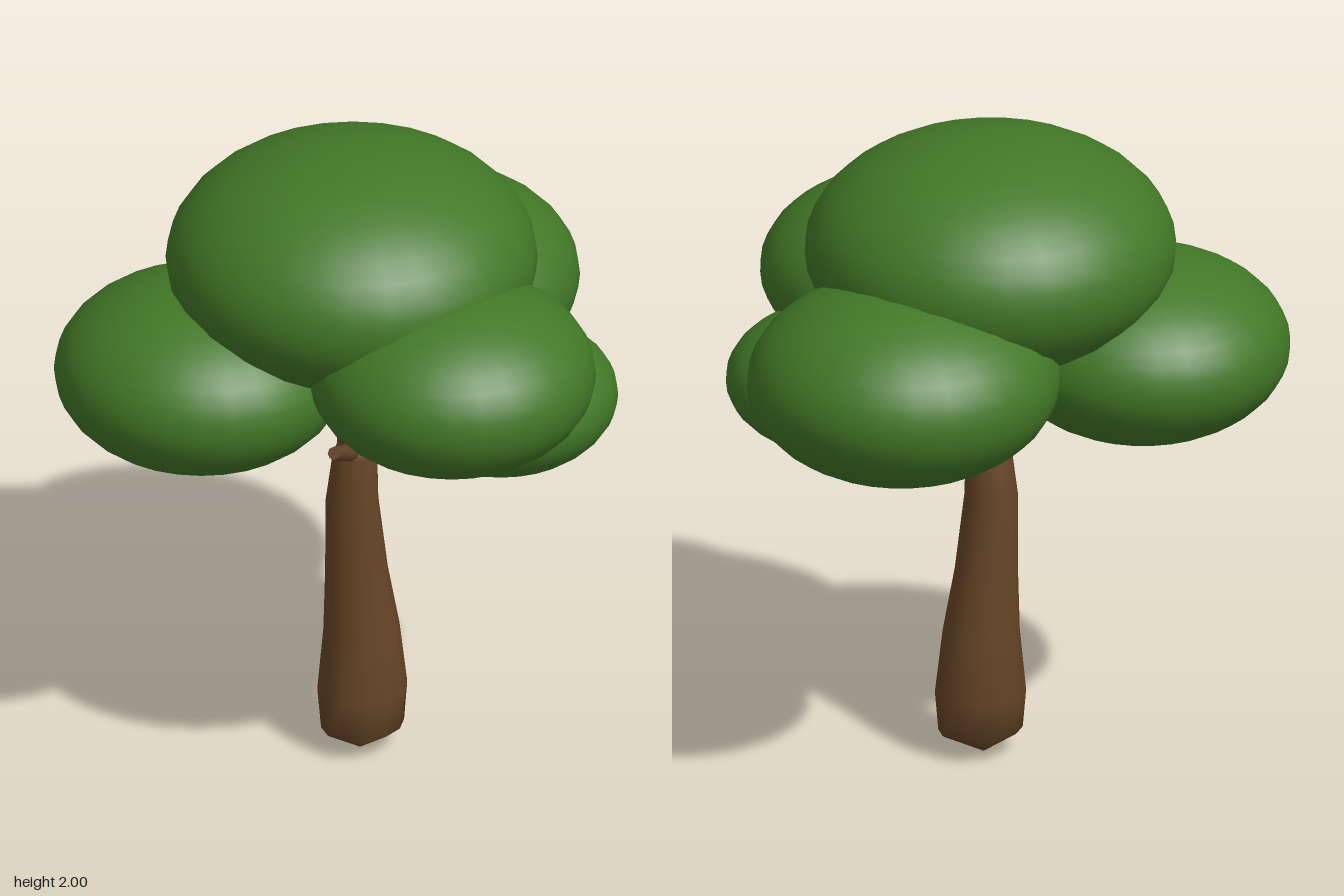
import * as THREE from 'three';

const bark = new THREE.MeshStandardMaterial({ color: 0x664526 });
bark.name = 'bark brown';
const leaf = new THREE.MeshStandardMaterial({ color: 0x427827 });
leaf.name = 'leaf green';

// Smooth tube through elliptical rings [y, centreX, centreZ, radiusX, radiusZ], bottom to top
function loft(rings, sides) {
  const pos = [], index = [];
  rings.forEach(([y, cx, cz, rx, rz], r) => {
    for (let i = 0; i < sides; i++) {
      const a = (i / sides) * Math.PI * 2;
      pos.push(cx + Math.cos(a) * rx, y, cz + Math.sin(a) * rz);
      if (r === 0) continue;
      const j = (i + 1) % sides, lo = (r - 1) * sides, hi = r * sides;
      index.push(lo + i, hi + i, lo + j, lo + j, hi + i, hi + j);
    }
  });
  const geo = new THREE.BufferGeometry();
  geo.setAttribute('position', new THREE.Float32BufferAttribute(pos, 3));
  geo.setIndex(index);
  geo.computeVertexNormals();
  return geo;
}

// Tapered limb between two points
function limb(from, to, r0, r1) {
  const a = new THREE.Vector3(...from), b = new THREE.Vector3(...to);
  const dir = b.clone().sub(a);
  const mesh = new THREE.Mesh(new THREE.CylinderGeometry(r1, r0, dir.length(), 8), bark);
  mesh.position.copy(a).add(b).multiplyScalar(0.5);
  mesh.quaternion.setFromUnitVectors(new THREE.Vector3(0, 1, 0), dir.normalize());
  return mesh;
}

export function createModel() {
  const tree = new THREE.Group();
  tree.name = 'tree';

  // Leaning trunk with a swollen foot that closes to a blunt point
  const trunk = new THREE.Mesh(loft([
    [0.0, -0.02, -0.08, 0.004, 0.004],
    [0.075, -0.01, -0.08, 0.132, 0.112],
    [0.2, -0.005, -0.088, 0.14, 0.128],
    [0.4, -0.005, -0.092, 0.117, 0.112],
    [0.6, -0.02, -0.097, 0.095, 0.094],
    [0.84, -0.035, -0.1, 0.08, 0.08],
    [1.0, -0.03, -0.092, 0.069, 0.064],
    [1.05, -0.03, -0.09, 0.045, 0.045],
    [1.06, -0.03, -0.09, 0.002, 0.002],
  ], 12), bark);
  trunk.name = 'trunk';
  tree.add(trunk);

  // Branches fanning out into the crown
  const branches = new THREE.Group();
  branches.name = 'branches';
  const fork = [-0.03, 1.0, -0.09];
  branches.add(
    limb(fork, [-0.01, 1.4, -0.13], 0.055, 0.045),
    limb(fork, [-0.205, 1.105, 0.03], 0.03, 0.02),
    limb(fork, [0.2, 1.16, -0.03], 0.036, 0.025),
    limb(fork, [0.1, 1.2, -0.25], 0.036, 0.025),
    limb(fork, [-0.06, 1.3, 0.05], 0.035, 0.025),
  );
  tree.add(branches);

  // Flattened leaf clumps: name, centre, radii
  const clumps = [
    ['topFoliage', [-0.02, 1.65, -0.12], [0.56, 0.35, 0.555]],
    ['frontFoliage', [0.01, 1.433, 0.33], [0.432, 0.278, 0.43]],
    ['rightFoliage', [-0.432, 1.32, -0.325], [0.442, 0.28, 0.443]],
    ['leftFoliage', [0.395, 1.375, -0.3], [0.475, 0.3, 0.46]],
    ['lowFoliage', [0.32, 1.195, 0.18], [0.35, 0.216, 0.34]],
  ];
  const ball = new THREE.SphereGeometry(1, 28, 20);
  for (const [name, centre, radii] of clumps) {
    const clump = new THREE.Mesh(ball, leaf);
    clump.name = name;
    clump.position.set(...centre);
    clump.scale.set(...radii);
    tree.add(clump);
  }
  return tree;
}
